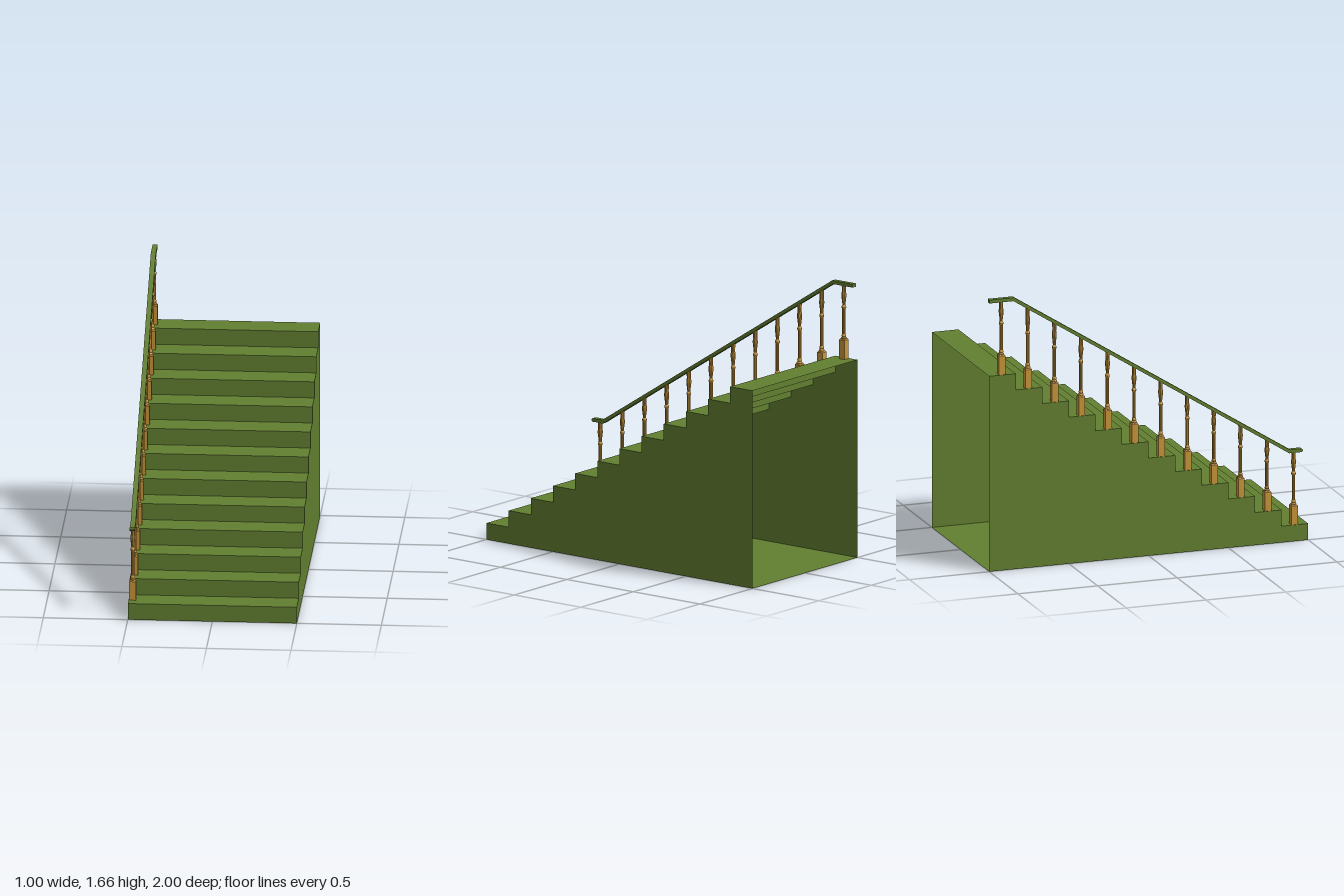
import * as THREE from 'three';

const STEPS = 12, RISE = 0.1, RUN = 2 / STEPS, RAIL_X = -0.476;

export function createModel() {
  const model = new THREE.Group();
  const green = new THREE.MeshStandardMaterial({ color: 0x627f30, side: THREE.DoubleSide, flatShading: true });
  const wood = new THREE.MeshStandardMaterial({ color: 0xc8963a, flatShading: true });

  const add = (name, geometry, material, parent = model) => {
    const mesh = new THREE.Mesh(geometry, material);
    mesh.name = name;
    parent.add(mesh);
    return mesh;
  };

  // Hollow staircase: treads and risers, open at the back
  const stairs = new THREE.Group();
  stairs.name = 'staircase';
  model.add(stairs);
  for (let i = 0; i < STEPS; i++) {
    const front = 1 - i * RUN;
    add('riser', new THREE.PlaneGeometry(1, RISE), green, stairs).position.set(0, (i + 0.5) * RISE, front);
    const tread = add('tread', new THREE.PlaneGeometry(1, RUN).rotateX(-Math.PI / 2), green, stairs);
    tread.position.set(0, (i + 1) * RISE, front - RUN / 2);
  }
  add('floor', new THREE.PlaneGeometry(1, 2).rotateX(Math.PI / 2), green, stairs);

  // Stepped side walls, drawn in (-z, y)
  const outline = new THREE.Shape();
  outline.moveTo(-1, 0);
  for (let i = 0; i < STEPS; i++) {
    outline.lineTo(-1 + i * RUN, (i + 1) * RISE);
    outline.lineTo(-1 + (i + 1) * RUN, (i + 1) * RISE);
  }
  outline.lineTo(1, 0);
  for (const x of [-0.5, 0.5]) {
    const wall = add('sideWall', new THREE.ShapeGeometry(outline).rotateY(Math.PI / 2), green, stairs);
    wall.position.x = x;
  }

  // Handrail: sloping bar with a level run at each end
  const path = [[-0.97, 0.54], [-0.885, 0.54], [0.845, 1.644], [0.995, 1.644]];
  const rail = new THREE.Shape();
  rail.moveTo(-0.97, 0.546);
  rail.lineTo(-0.962, 0.54);
  path.slice(1).forEach(([u, y]) => rail.lineTo(u, y));
  rail.lineTo(0.995, 1.665);
  rail.lineTo(0.84, 1.665);
  rail.lineTo(-0.89, 0.561);
  rail.lineTo(-0.962, 0.561);
  rail.lineTo(-0.97, 0.555);
  const railGeometry = new THREE.ExtrudeGeometry(rail, { depth: 0.03, bevelEnabled: false });
  railGeometry.translate(0, 0, -0.015).rotateY(Math.PI / 2);
  add('handrail', railGeometry, green).position.x = RAIL_X;

  // Underside of the handrail at u = -z
  const railHeight = (u) => {
    const t = THREE.MathUtils.clamp((u + 0.885) / 1.73, 0, 1);
    return 0.54 + t * 1.104;
  };

  // Turned spindle profile, radius against share of height
  const profile = [
    [0, 0], [0.017, 0], [0.017, 0.02], [0.012, 0.04], [0.014, 0.06], [0.0105, 0.09], [0.0105, 0.55],
    [0.014, 0.57], [0.014, 0.59], [0.009, 0.62], [0.01, 0.66], [0.015, 0.78], [0.015, 0.82],
    [0.012, 0.86], [0.013, 1], [0, 1]
  ].map(([r, y]) => new THREE.Vector2(r, y));
  const spindleGeometry = new THREE.LatheGeometry(profile, 10);
  const baseGeometry = new THREE.BoxGeometry(0.04, 0.116, 0.04);
  const capGeometry = new THREE.CylinderGeometry(0.02, 0.0283, 0.008, 4).rotateY(Math.PI / 4);

  // One baluster on every tread
  for (let i = 0; i < STEPS; i++) {
    const u = -1 + (i + 0.5) * RUN;
    const foot = (i + 1) * RISE;
    const baluster = new THREE.Group();
    baluster.name = 'baluster';
    baluster.position.set(RAIL_X, foot, -u);
    model.add(baluster);
    add('balusterBase', baseGeometry, wood, baluster).position.y = 0.057;
    add('balusterBaseCap', capGeometry, wood, baluster).position.y = 0.119;
    const spindle = add('balusterSpindle', spindleGeometry, wood, baluster);
    spindle.position.y = 0.12;
    spindle.scale.y = railHeight(u) + 0.008 - foot - 0.12;
  }
  return model;
}
